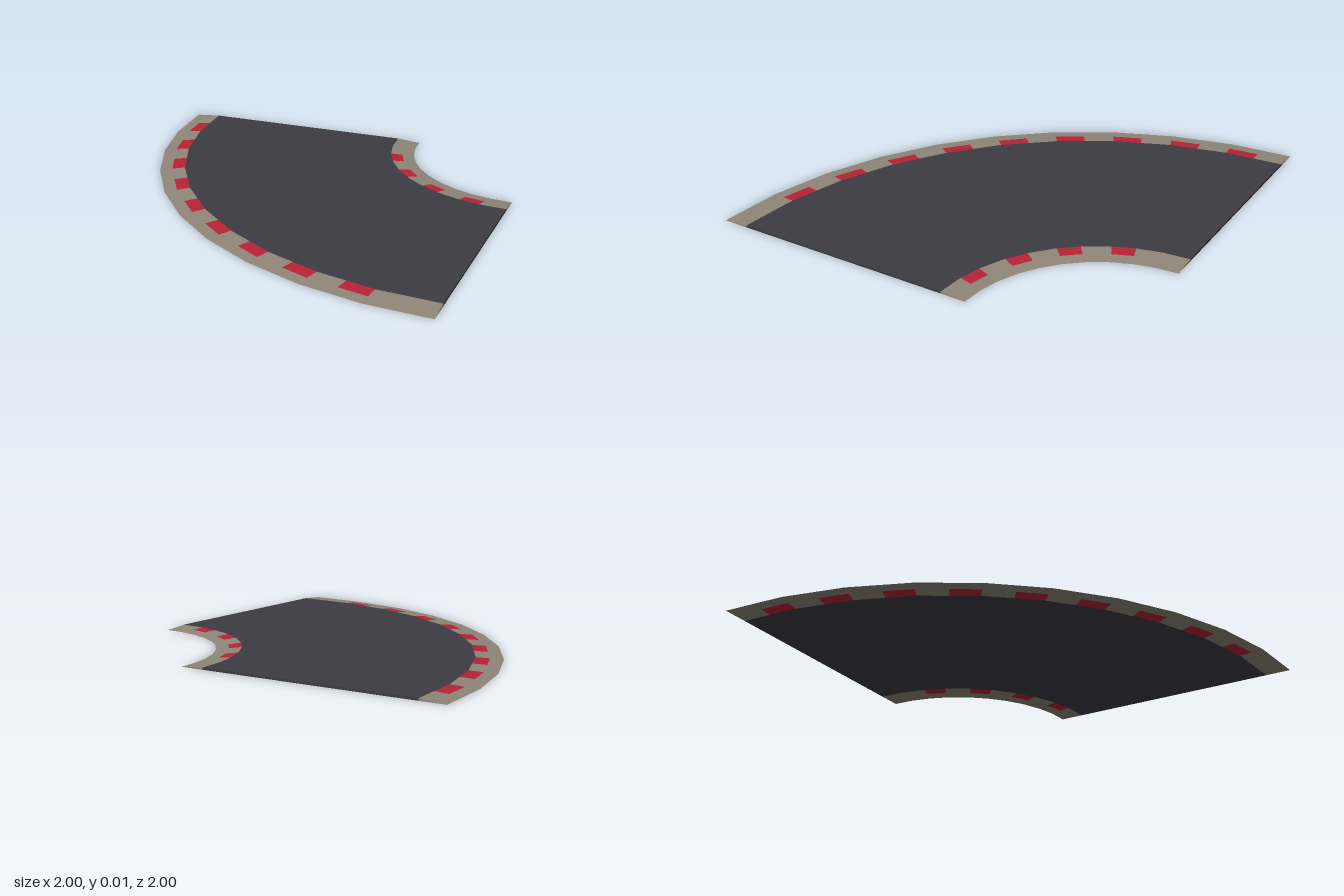
import * as THREE from 'three';

const material = (name, color) => {
  const m = new THREE.MeshStandardMaterial({ color });
  m.name = name;
  return m;
};

const STEP = 9; // degrees per facet of the bend
const INNER = 0.667, INNER_CURB = 0.788, OUTER_CURB = 1.872, OUTER = 2;
const HEIGHT = 0.01;

// The slab is flat in the middle and tapers to nothing along both curbs
const heightAt = r => HEIGHT * Math.max(0, Math.min(1,
  (r - INNER) / (INNER_CURB - INNER), (OUTER - r) / (OUTER - OUTER_CURB)));

// Point on the faceted bend, whose centre is the corner (1, -1)
function pointAt(r, deg, y) {
  const rad = THREE.MathUtils.degToRad;
  const facet = Math.cos(rad(STEP / 2)) / Math.cos(rad((deg % STEP) - STEP / 2));
  const R = r * facet;
  return [1 - R * Math.cos(rad(deg)), y, -1 + R * Math.sin(rad(deg))];
}

// Top, underside and end caps of a strip between two radii and two angles
function strip(r0, r1, from, to) {
  const pos = [];
  const quad = (a, b, c, d) => pos.push(...a, ...b, ...c, ...a, ...c, ...d);
  const h0 = heightAt(r0), h1 = heightAt(r1);
  for (let a = from; a < to - 1e-6;) {
    const b = Math.min(to, (Math.floor(a / STEP + 1e-6) + 1) * STEP);
    quad(pointAt(r0, a, h0), pointAt(r1, a, h1), pointAt(r1, b, h1), pointAt(r0, b, h0));
    quad(pointAt(r0, b, 0), pointAt(r1, b, 0), pointAt(r1, a, 0), pointAt(r0, a, 0));
    a = b;
  }
  if (from === 0) quad(pointAt(r0, 0, 0), pointAt(r1, 0, 0), pointAt(r1, 0, h1), pointAt(r0, 0, h0));
  if (to === 90) quad(pointAt(r0, 90, h0), pointAt(r1, 90, h1), pointAt(r1, 90, 0), pointAt(r0, 90, 0));
  const g = new THREE.BufferGeometry();
  g.setAttribute('position', new THREE.Float32BufferAttribute(pos, 3));
  g.computeVertexNormals();
  return g;
}

export function createModel() {
  const model = new THREE.Group();
  model.name = 'roadBend';
  const asphalt = material('asphalt', 0x3d3b43);
  const stone = material('curbStone', 0x8f8678);
  const red = material('curbRed', 0xb82236);

  const add = (parent, name, mat, ...args) => {
    const mesh = new THREE.Mesh(strip(...args), mat);
    mesh.name = name;
    parent.add(mesh);
  };

  // Driving surface
  add(model, 'roadSurface', asphalt, INNER_CURB, OUTER_CURB, 0, 90);

  // Curb: a plain band plus a band where red blocks alternate with stone
  function curb(name, plain, blocks, first, spacing, count, half) {
    const group = new THREE.Group();
    group.name = name;
    add(group, 'curbEdge', stone, ...plain, 0, 90);
    let end = 0;
    for (let i = 0; i < count; i++) {
      const mid = first + i * spacing;
      add(group, 'curbGap', stone, ...blocks, end, mid - half);
      add(group, 'redBlock', red, ...blocks, mid - half, mid + half);
      end = mid + half;
    }
    add(group, 'curbGap', stone, ...blocks, end, 90);
    model.add(group);
  }
  curb('outerCurb', [1.938, OUTER], [OUTER_CURB, 1.938], 6.65, 9, 9, 2.2);
  curb('innerCurb', [INNER, 0.729], [0.729, INNER_CURB], 22.2, 18, 4, 4);

  return model;
}
